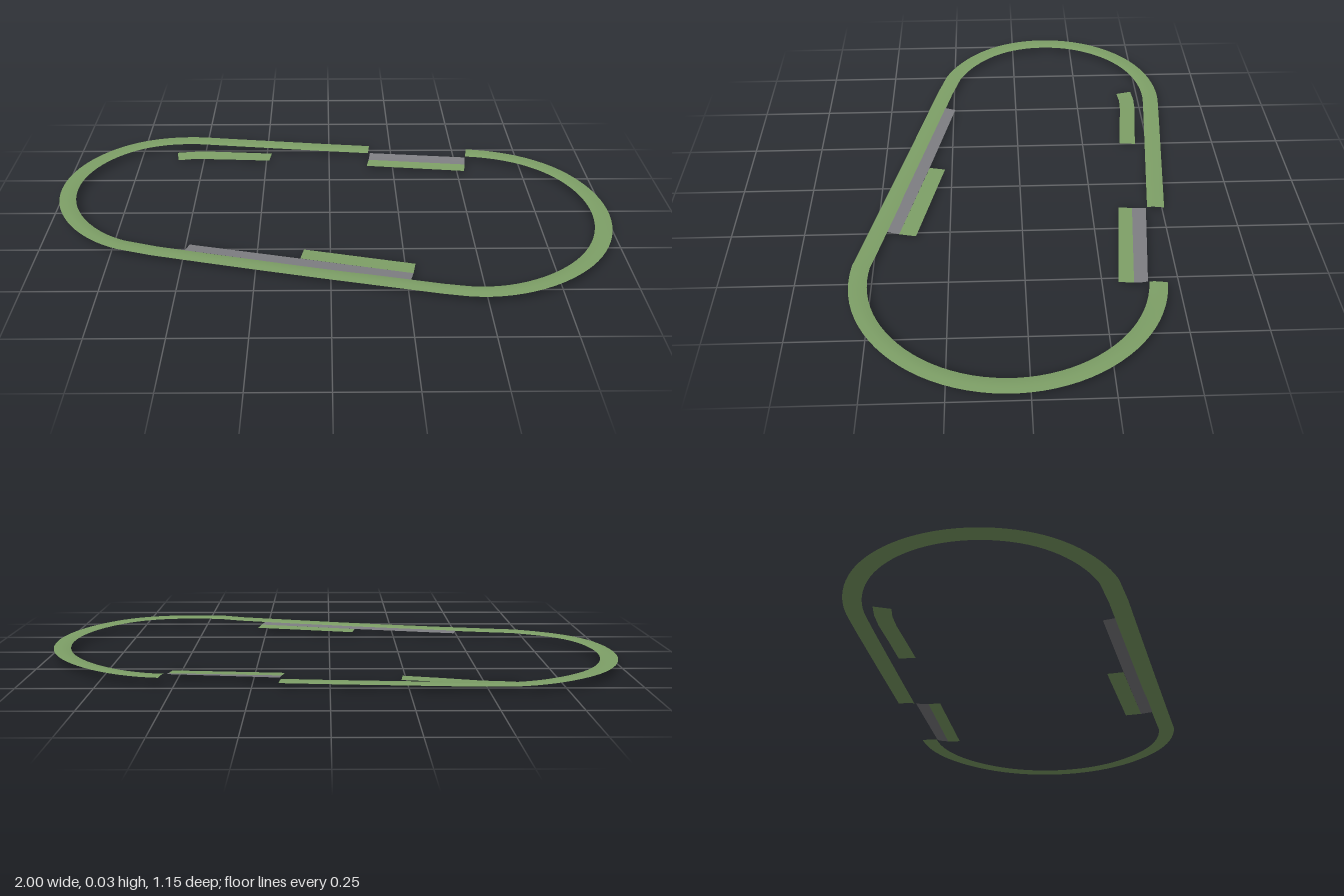
import * as THREE from 'three';

const green = new THREE.MeshStandardMaterial({ color: 0x7ea067, side: THREE.DoubleSide });
green.name = 'grassGreen';
const grey = new THREE.MeshStandardMaterial({ color: 0x7e7e82, side: THREE.DoubleSide });
grey.name = 'wallGrey';

// Upward-facing strip through neighbouring rows of points [x, y, z], each row
// lying to the right of the one before it when seen from above.
function strip(name, rows, material) {
  const n = rows[0].length, idx = [];
  for (let r = 0; r < rows.length - 1; r++) {
    for (let i = 0; i < n - 1; i++) {
      const a = r * n + i, b = a + n;
      idx.push(a, b, a + 1, a + 1, b, b + 1);
    }
  }
  const g = new THREE.BufferGeometry();
  g.setAttribute('position', new THREE.Float32BufferAttribute(rows.flat(2), 3));
  g.setIndex(idx);
  g.computeVertexNormals();
  const m = new THREE.Mesh(g, material);
  m.name = name;
  return m;
}

// Centre line: right bend, front straight, left bend, back straight
function centreLine() {
  const pts = [];
  const bend = (cx, cz, rx, rz, from, to, y0, yMid, y1) => {
    const n = 44;
    for (let i = 0; i <= n; i++) {
      const t = i / n, a = from + (to - from) * t;
      const up = THREE.MathUtils.smoothstep(t, 0, 0.28);
      const down = THREE.MathUtils.smoothstep(t, 0.72, 1);
      const y = y0 + (yMid - y0) * up + (y1 - yMid) * down;
      pts.push(new THREE.Vector3(cx + rx * Math.cos(a), y, cz + rz * Math.sin(a)));
    }
  };
  const straight = (x0, z0, x1, z1, heights) => heights.forEach((y, i) => {
    const t = i / (heights.length - 1);
    pts.push(new THREE.Vector3(x0 + (x1 - x0) * t, y, z0 + (z1 - z0) * t));
  });
  bend(0.5, 0.055, 0.47, 0.487, -1.472, 1.7, 0.024, 0.031, 0.022);
  straight(0.36, 0.519, -0.6, 0.287, [0.019, 0.018, 0.017, 0.017, 0.018, 0.02]);
  bend(-0.55, -0.13, 0.42, 0.417, 1.98, 4.82, 0.023, 0.031, 0.025);
  straight(-0.4, -0.534, 0.16, -0.474, [0.023, 0.021, 0.019, 0.018]);
  return pts;
}

export function createModel() {
  const model = new THREE.Group();
  model.name = 'trackVerge';

  // Outer verge: a slightly crowned section swept along the centre line
  const pts = centreLine();
  const section = [[0.03, 0], [0.006, 0.0015], [-0.014, 0.0008], [-0.03, -0.002]];
  const rows = section.map(([offset, lift]) => pts.map((p, i) => {
    const before = pts[Math.max(i - 1, 0)], after = pts[Math.min(i + 1, pts.length - 1)];
    const d = after.clone().sub(before).setY(0).normalize();
    return [p.x + d.z * offset, p.y + lift, p.z - d.x * offset];
  }));
  // the bends run clockwise, so the outer row is the left-hand one
  model.add(strip('outerVerge', rows, green));

  // Front pit lane: sloping grey band with a grass patch inside it
  model.add(strip('frontBand', [
    [[-0.483, 0.016, 0.243], [-0.1, 0.0145, 0.333], [0.272, 0.014, 0.423]],
    [[-0.495, 0.018, 0.283], [-0.112, 0.0155, 0.376], [0.26, 0.016, 0.466]],
  ], grey));
  model.add(strip('frontPatch', [
    [[-0.09, 0.014, 0.275], [0.283, 0.013, 0.365]],
    [[-0.102, 0.0145, 0.332], [0.272, 0.014, 0.423]],
  ], green));

  // Back ramp and the grass patch at its foot
  model.add(strip('backRamp', [
    [[0.164, 0.019, -0.439], [0.54, 0.02, -0.396]],
    [[0.161, 0.0155, -0.418], [0.538, 0.0145, -0.375]],
    [[0.157, 0.0135, -0.391], [0.535, 0.0115, -0.352]],
  ], grey));
  model.add(strip('backPatch', [
    [[0.157, 0.0135, -0.391], [0.535, 0.0115, -0.352]],
    [[0.148, 0.0105, -0.345], [0.527, 0.0085, -0.303]],
  ], green));

  // Low curved strip inside the back straight
  model.add(strip('innerVerge', [
    [[-0.612, 0.004, -0.477], [-0.55, 0.006, -0.482], [-0.48, 0.008, -0.479], [-0.36, 0.011, -0.464], [-0.23, 0.013, -0.449]],
    [[-0.603, 0, -0.419], [-0.55, 0.002, -0.424], [-0.48, 0.004, -0.42], [-0.37, 0.008, -0.406], [-0.238, 0.012, -0.39]],
  ], green));

  return model;
}
